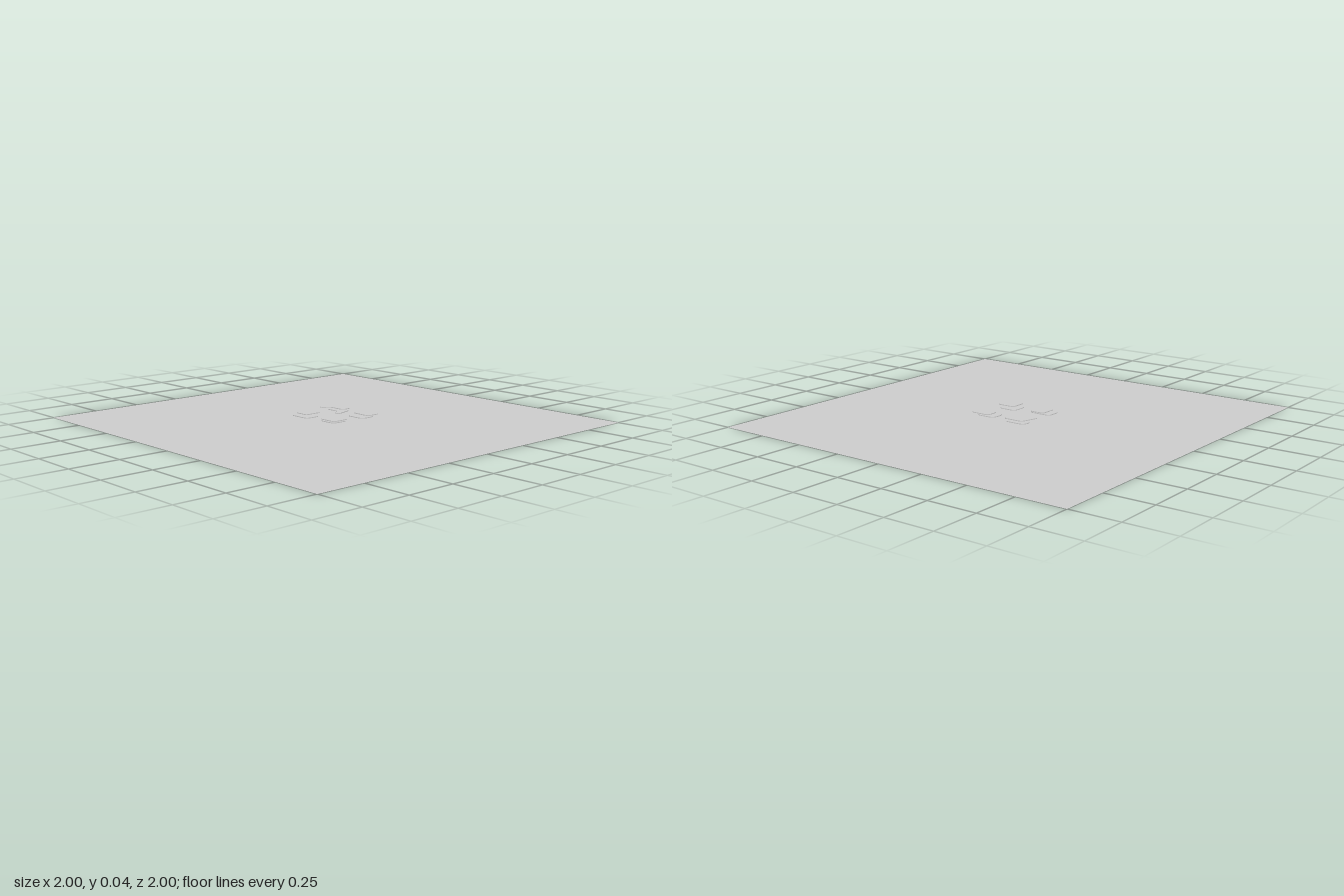
import * as THREE from 'three';

const grey = new THREE.MeshStandardMaterial({ color: 0xcccccc, side: THREE.DoubleSide });
const THICK = 0.004;

// Rounded rectangle outline in (x, z), optionally with a pointed tail corner
function roundedShape(x0, x1, z0, z1, r) {
  const s = new THREE.Shape();
  s.moveTo(x0 + r, z0);
  s.lineTo(x1 - r, z0);
  s.quadraticCurveTo(x1, z0, x1, z0 + r);
  s.lineTo(x1, z1 - r);
  s.quadraticCurveTo(x1, z1, x1 - r, z1);
  s.lineTo(x0 + r, z1);
  s.quadraticCurveTo(x0, z1, x0, z1 - r);
  s.lineTo(x0, z0 + r);
  s.quadraticCurveTo(x0, z0, x0 + r, z0);
  return s;
}

// Bubble whose leg flares down and outward; dir -1 flares to -x, +1 to +x
function bubbleShape(cx, dir) {
  const s = new THREE.Shape();
  const X = (v) => cx + dir * v;
  s.moveTo(X(-0.04), -0.16);
  s.lineTo(X(0.03), -0.16);
  s.quadraticCurveTo(X(0.05), -0.16, X(0.055), -0.14);
  s.lineTo(X(0.073), -0.075);
  s.quadraticCurveTo(X(0.074), -0.06, X(0.062), -0.06);
  s.quadraticCurveTo(X(0.05), -0.06, X(0.042), -0.072);
  s.quadraticCurveTo(X(0.028), -0.1, X(0.01), -0.1);
  s.lineTo(X(-0.04), -0.1);
  s.quadraticCurveTo(X(-0.063), -0.1, X(-0.063), -0.125);
  s.quadraticCurveTo(X(-0.063), -0.16, X(-0.04), -0.16);
  return s;
}

// Thin horizontal plate from an (x, z) outline, centred at height y
function plate(name, shape, y) {
  const geo = new THREE.ExtrudeGeometry(shape, { depth: THICK, bevelEnabled: false, curveSegments: 8 });
  geo.rotateX(Math.PI / 2);
  const mesh = new THREE.Mesh(geo, grey);
  mesh.position.y = y + THICK / 2;
  mesh.name = name;
  return mesh;
}

function icon(name, lower, upper) {
  const g = new THREE.Group();
  g.name = name;
  g.add(plate('lowerPlate', lower, 0.021), plate('upperPlate', upper, 0.035));
  return g;
}

export function createModel() {
  const model = new THREE.Group();
  model.name = 'gridFloorWithIcons';

  // Flat square floor
  const floor = new THREE.Mesh(new THREE.PlaneGeometry(2, 2).rotateX(-Math.PI / 2), grey);
  floor.name = 'floor';
  model.add(floor);

  // Narrow grid strips lying on the floor
  const grid = new THREE.Group();
  grid.name = 'gridLines';
  for (let i = -4; i <= 4; i++) {
    for (const along of ['x', 'z']) {
      const geo = along === 'x' ? new THREE.PlaneGeometry(2, 0.005) : new THREE.PlaneGeometry(0.005, 2);
      const line = new THREE.Mesh(geo.rotateX(-Math.PI / 2), grey);
      line.position.set(along === 'z' ? i * 0.2 : 0, 0.0006, along === 'x' ? i * 0.2 : 0);
      line.name = 'gridLine';
      grid.add(line);
    }
  }
  model.add(grid);

  // Four icons, each of two stacked floating plates
  model.add(
    icon('flaredIcon', bubbleShape(-0.1, 1), bubbleShape(-0.1, -1)),
    icon('wideIcon', roundedShape(0.035, 0.147, -0.145, -0.06, 0.03), roundedShape(0.055, 0.165, -0.16, -0.083, 0.025)),
    icon('tallIcon', roundedShape(-0.16, -0.042, 0.055, 0.138, 0.022), roundedShape(-0.14, -0.06, 0.03, 0.125, 0.015)),
    icon('squareIcon', roundedShape(0.037, 0.135, 0.03, 0.122, 0.022), roundedShape(0.056, 0.158, 0.045, 0.14, 0.022)),
  );
  return model;
}
